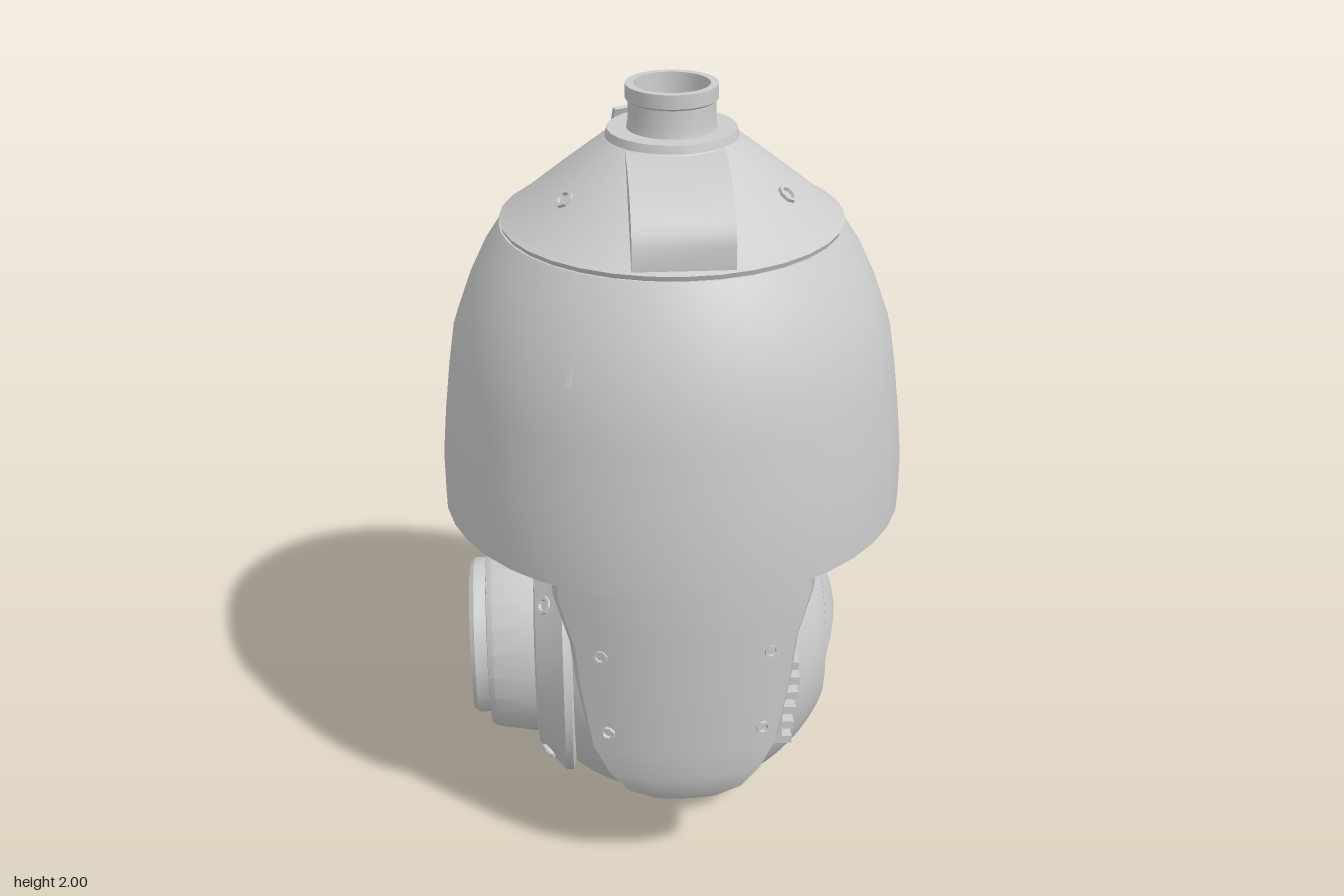
import * as THREE from 'three';
import { toCreasedNormals } from 'three/addons/utils/BufferGeometryUtils.js';
import { ParametricGeometry } from 'three/addons/geometries/ParametricGeometry.js';

const MAT = new THREE.MeshStandardMaterial({ color: 0xcccccc, side: THREE.DoubleSide });
const BALL_Y = 0.46, BALL_R = 0.455, SEAT_X = 0.4;

export function createModel() {
  const root = new THREE.Group();
  root.name = 'domeCamera';

  const add = (geo, name, parent = root) => {
    const mesh = new THREE.Mesh(geo, MAT);
    mesh.name = name;
    parent.add(mesh);
    return mesh;
  };
  const group = (name) => {
    const g = new THREE.Group();
    g.name = name;
    root.add(g);
    return g;
  };
  const lathe = (pts, segs = 32) => toCreasedNormals(
    new THREE.LatheGeometry(pts.map(([r, y]) => new THREE.Vector2(r, y)), segs), 0.45);
  const box = (w, h, d, x, y, z, name, parent) => {
    const m = add(new THREE.BoxGeometry(w, h, d), name, parent);
    m.position.set(x, y, z);
    return m;
  };
  // Socket screw: a small ring and a sunken head facing along a normal
  const screw = (pos, normal, r, name, parent) => {
    const geo = lathe([[r, -0.012], [r, 0.004], [r * 0.65, 0.004], [r * 0.55, -0.006], [0, -0.006]], 8);
    const m = add(geo, name, parent);
    m.position.set(...pos);
    m.quaternion.setFromUnitVectors(new THREE.Vector3(0, 1, 0), new THREE.Vector3(...normal).normalize());
  };

  // Bell-shaped housing, hollow below
  add(lathe([[0, 1.08], [0.5, 1.08], [0.575, 1.0], [0.588, 0.907], [0.6, 0.907], [0.6, 1.02], [0.588, 1.15],
    [0.572, 1.28], [0.555, 1.39], [0.515, 1.5], [0.472, 1.59], [0.43, 1.655], [0, 1.655]], 40), 'housing');

  // Conical cap with flange and hollow pipe neck
  add(lathe([[0.425, 1.655], [0.43, 1.668], [0.405, 1.682], [0.29, 1.775], [0.165, 1.872], [0.16, 1.892],
    [0.112, 1.892], [0.108, 1.91], [0.108, 1.96], [0.114, 1.965], [0.114, 2], [0.094, 2], [0.088, 1.9],
    [0.055, 1.9], [0.05, 1.88], [0, 1.88]]), 'cap');

  // Rounded cover on the front of the cap
  const cover = new THREE.Shape();
  cover.moveTo(0.1, 1.66);
  cover.lineTo(0.425, 1.68);
  cover.lineTo(0.425, 1.74);
  cover.bezierCurveTo(0.4, 1.81, 0.32, 1.865, 0.14, 1.87);
  cover.lineTo(0.1, 1.87);
  const coverGeo = new THREE.ExtrudeGeometry(cover, { depth: 0.24, bevelEnabled: false, curveSegments: 8 });
  coverGeo.translate(0, 0, -0.12).rotateY(-Math.PI / 2);
  add(toCreasedNormals(coverGeo, 0.5), 'capCover');

  // Cap screws and safety tab
  const capDetails = group('capDetails');
  for (const a of [Math.PI, 1.06, -1.06]) {
    const s = Math.sin(a), c = Math.cos(a);
    screw([0.308 * s, 1.765, 0.308 * c], [s, 1.24, c], 0.026, 'capScrew', capDetails);
  }
  const tab = box(0.065, 0.085, 0.012, -0.11, 1.84, -0.225, 'safetyTab', capDetails);
  tab.rotation.set(0.35, 0.43, 0, 'YXZ');
  screw([-0.114, 1.845, -0.236], [-0.4, 0.35, -0.9], 0.018, 'tabScrew', capDetails);

  // Narrow slots on the shoulder of the housing
  for (const [x, z] of [[-0.265, 0.46], [0.265, -0.46]]) {
    const slot = box(0.012, 0.08, 0.008, x, 1.455, z, 'housingSlot');
    slot.rotation.set(z > 0 ? -0.38 : 0.38, Math.atan2(x, z) - (z > 0 ? 0 : Math.PI), 0, 'YXZ');
  }

  // Yoke arms: rows of [y, half width, outer radius, inner z]
  const rows = [[0.243, 0, 0.49, 0.425], [0.253, 0.08, 0.51, 0.425], [0.285, 0.15, 0.53, 0.425],
    [0.34, 0.2, 0.545, 0.425], [0.42, 0.243, 0.553, 0.425], [0.6, 0.273, 0.565, 0.425],
    [0.72, 0.286, 0.573, 0.425], [0.79, 0.307, 0.577, 0.395], [0.85, 0.325, 0.58, 0.365], [1.06, 0.325, 0.58, 0.365]];
  const armGeo = toCreasedNormals(new ParametricGeometry((u, v, p) => {
    const k = Math.round(u * 14) % 14;
    const [y, w, R, zi] = rows[Math.round(v * (rows.length - 1))];
    if (k > 11) return p.set(k === 12 ? w : -w, y, zi);
    const x = w * Math.max(-1, Math.min(1, -1 + 2 * (k - 1) / 9));
    const rim = k === 0 || k === 11 ? 0.03 : 0;
    p.set(rim ? x : x * 0.96, y, Math.max(zi, Math.sqrt(R * R - x * x) - rim));
  }, 14, rows.length - 1), 0.5);
  for (const s of [1, -1]) {
    const arm = group(s > 0 ? 'frontArm' : 'backArm');
    if (s < 0) arm.rotation.y = Math.PI;
    add(armGeo, 'armShell', arm);
    for (const m of [-1, 1]) {
      screw([0.212 * m, 0.71, 0.529], [0.37 * m, 0, 0.93], 0.019, 'armScrew', arm);
      screw([0.197 * m, 0.475, 0.521], [0.35 * m, -0.05, 0.93], 0.019, 'armScrew', arm);
    }
    const axle = add(new THREE.CylinderGeometry(0.14, 0.14, 0.06, 24), 'tiltAxle', arm);
    axle.rotation.x = Math.PI / 2;
    axle.position.set(0, BALL_Y, 0.42);
  }

  // Camera ball: flat sides beside the arms, flat hatch seat and flat lens side
  const ballGeo = new THREE.SphereGeometry(BALL_R, 64, 64).rotateZ(Math.PI / 2);
  const pos = ballGeo.attributes.position;
  for (let i = 0; i < pos.count; i++) {
    pos.setXYZ(i, Math.max(-0.3, Math.min(SEAT_X, pos.getX(i))), pos.getY(i) + BALL_Y,
      Math.max(-0.425, Math.min(0.425, pos.getZ(i))));
  }
  add(toCreasedNormals(ballGeo, 0.4), 'ball');

  // Hood over the hatch: a sloping underside that meets the ball's round surface
  const seatR = Math.sqrt(BALL_R ** 2 - SEAT_X ** 2), low = 0.02, slope = 0.55;
  const hoodWidth = Math.sqrt(seatR ** 2 - low ** 2);
  add(toCreasedNormals(new ParametricGeometry((u, v, p) => {
    const z = hoodWidth * Math.cos(u * Math.PI);
    if (v === 0) return p.set(SEAT_X, BALL_Y + low, z);
    const a = 1 + slope ** 2, b = SEAT_X * slope + low, c = SEAT_X ** 2 + low ** 2 - BALL_R ** 2 + z * z;
    const y0 = low + (Math.sqrt(Math.max(0, b * b - a * c)) - b) / a;
    const y1 = Math.sqrt(seatR ** 2 - z * z);
    const y = y0 + (y1 - y0) * (v * 9 - 1) / 8;
    p.set(Math.sqrt(Math.max(0, BALL_R ** 2 - z * z - y * y)), BALL_Y + y, z);
  }, 24, 9), 0.4), 'hatchHood');

  // Raised border of the hatch plate
  const hatch = group('hatch');
  for (const s of [-1, 1]) {
    box(0.008, 0.006, 0.23, 0.401, 0.362 + 0.078 * s, 0, 'hatchEdge', hatch);
    box(0.008, 0.16, 0.006, 0.401, 0.362, 0.115 * s, 'hatchEdge', hatch);
    for (const t of [-1, 1]) {
      screw([0.401, 0.362 + 0.066 * s, 0.1 * t], [1, 0, 0], 0.009, 'hatchScrew', hatch);
    }
  }

  // Screws round the back half of the ball
  for (const sy of [-1, 1]) for (const sz of [-1, 1]) {
    const n = new THREE.Vector3(0.17, 0.295 * sy, 0.295 * sz).normalize();
    screw([n.x * BALL_R, BALL_Y + n.y * BALL_R, n.z * BALL_R], n.toArray(), 0.028, 'ballScrew');
  }

  // Cooling fins on both flanks: wedge ribs on a solid block
  for (const s of [1, -1]) {
    const fins = group(s > 0 ? 'frontFins' : 'backFins');
    box(0.12, 0.25, 0.068, 0.2, 0.475, 0.386 * s, 'finBase', fins);
    for (let i = 0; i < 6; i++) {
      const reach = 0.302 - 0.004 * Math.abs(i - 4);
      box(reach - 0.2, 0.022, 0.068, (reach + 0.2) / 2, 0.361 + 0.0456 * i, 0.386 * s, 'fin', fins);
    }
  }

  // Front bezel, lens barrel and window, turned about the x axis
  const lens = group('lens');
  lens.position.y = BALL_Y - 0.01;
  const turned = (pts, name, segs, depth) => add(
    lathe(pts, segs).rotateZ(Math.PI / 2).scale(1, 1, depth), name, lens);
  turned([[0.34, 0.27], [0.38, 0.285], [0.38, 0.305], [0.345, 0.335], [0.3, 0.375], [0.25, 0.38]], 'bezel', 32, 0.98);
  turned([[0.285, 0.33], [0.282, 0.39], [0.265, 0.49], [0.255, 0.505], [0.2, 0.51]], 'barrel', 24, 0.83);
  turned([[0.222, 0.5], [0.222, 0.54], [0.212, 0.552], [0.185, 0.552], [0.178, 0.535], [0, 0.535]], 'window', 16, 0.88);

  // Screws where the bezel meets the barrel
  for (const sy of [-1, 1]) for (const sz of [-1, 1]) {
    screw([-0.352, 0.232 * sy, 0.232 * sz], [-0.75, 0.5 * sy, 0.5 * sz], 0.024, 'bezelScrew', lens);
  }

  // Wiper pivot at the lower rim of the window
  const pivot = add(new THREE.CylinderGeometry(0.035, 0.035, 0.06, 12).rotateZ(Math.PI / 2), 'wiperPivot', lens);
  pivot.position.set(-0.533, -0.195, -0.1);

  return root;
}
